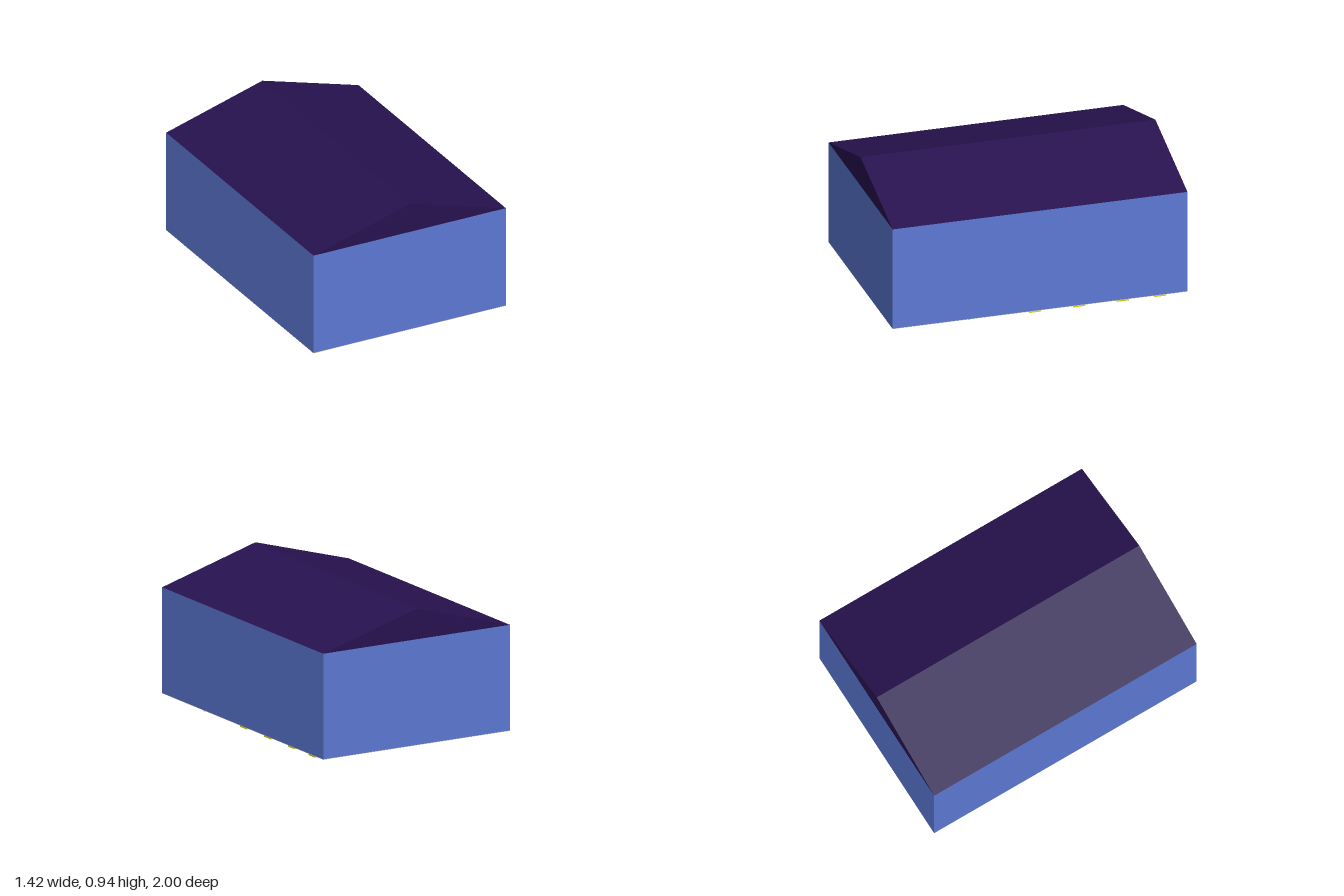
import * as THREE from 'three';

const mat = (color) => new THREE.MeshStandardMaterial({ color });
const wallMat = mat(0x5c78d4);
const roofMat = mat(0x281250);
const yellowMat = mat(0xe2de10);
const greenMat = mat(0x0fc02e);
const greyMat = mat(0xcccccc);

const W = 0.71, L = 1, FLOOR = 0.02, EAVE = 0.73, RIDGE = 0.935;

export function createModel() {
  const model = new THREE.Group();

  // Box given by its x, y and z ranges
  const block = (name, material, [x0, x1], [y0, y1], [z0, z1], parent = model) => {
    const mesh = new THREE.Mesh(new THREE.BoxGeometry(x1 - x0, y1 - y0, z1 - z0), material);
    mesh.position.set((x0 + x1) / 2, (y0 + y1) / 2, (z0 + z1) / 2);
    mesh.name = name;
    parent.add(mesh);
    return mesh;
  };
  const group = (name) => {
    const g = new THREE.Group();
    g.name = name;
    model.add(g);
    return g;
  };

  // Walls and floor slab
  block('walls', wallMat, [-W, W], [FLOOR + 0.002, EAVE], [-L, L]);
  block('floor', greyMat, [-W, W], [FLOOR - 0.001, FLOOR + 0.002], [-L, L]);

  // Gable roof: a triangular prism along z
  const gable = new THREE.Shape([
    new THREE.Vector2(-W, EAVE), new THREE.Vector2(W, EAVE), new THREE.Vector2(0, RIDGE),
  ]);
  const roofGeo = new THREE.ExtrudeGeometry(gable, { depth: 2 * L, bevelEnabled: false });
  roofGeo.translate(0, 0, -L);
  const roof = new THREE.Mesh(roofGeo, roofMat);
  roof.name = 'roof';
  model.add(roof);

  const full = [0, FLOOR];
  const thin = [FLOOR - 0.005, FLOOR];

  // Crosswise blocks: two columns of four
  const cross = group('crosswiseBlocks');
  for (const x of [[0.405, 0.69], [-0.018, 0.265]])
    for (const z of [-0.863, -0.608, -0.313, -0.014])
      block('crosswiseBlock', yellowMat, x, full, [z, z + 0.079], cross);

  // Lengthwise blocks: an inner row and a row along the side wall
  const rows = group('lengthwiseBlocks');
  for (const z of [-0.86, -0.57, 0.065, 0.352])
    block('innerBlock', yellowMat, [-0.34, -0.26], full, [z, z + 0.283], rows);
  for (const z of [-0.52, -0.212, 0.076, 0.685])
    block('sideBlock', yellowMat, [-0.688, -0.608], full, [z, z + 0.284], rows);
  block('greyBlock', greyMat, [-0.688, -0.608], full, [0.38, 0.672], rows);

  // Thin partition strips
  const strips = group('partitionStrips');
  block('strip', yellowMat, [0.185, W], thin, [0.474, 0.488], strips);
  block('strip', yellowMat, [0, 0.53], thin, [0.345, 0.359], strips);
  block('strip', yellowMat, [-0.008, 0.006], thin, [0.25, 0.775], strips);

  // Green mats
  const mats = group('greenMats');
  for (const x of [0.182, 0.33, 0.475])
    block('greenMat', greenMat, [x, x + 0.074], thin, [0.59, 0.855], mats);

  return model;
}
